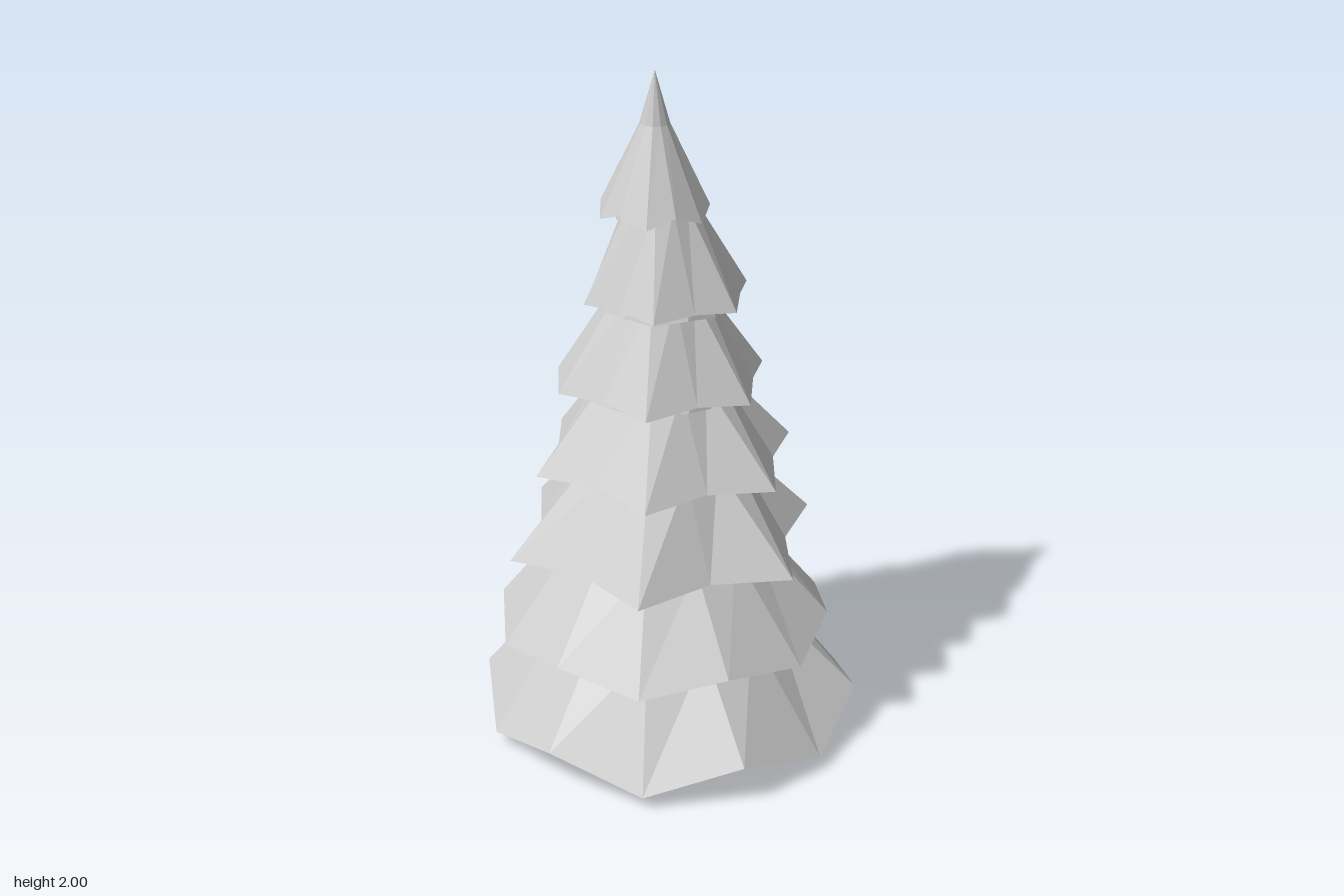
import * as THREE from 'three';

const SIDES = 12;

// One ring of points; radius and y may be a number or a function of the corner index.
// Even corners point along +x, +60 degrees and so on.
function ring(cx, cz, radius, y) {
  const at = (v, i) => (typeof v === 'function' ? v(i) : v);
  return Array.from({ length: SIDES }, (_, i) => {
    const a = (i / SIDES) * Math.PI * 2;
    const r = at(radius, i);
    return [cx + Math.cos(a) * r, at(y, i), cz + Math.sin(a) * r];
  });
}

// Skin a stack of rings listed from the underside centre to the top.
function loft(rings) {
  const index = [];
  for (let k = 0; k < rings.length - 1; k++) {
    for (let i = 0; i < SIDES; i++) {
      const j = (i + 1) % SIDES;
      const a = k * SIDES + i, b = k * SIDES + j;
      const c = a + SIDES, d = b + SIDES;
      index.push(a, c, b, b, c, d);
    }
  }
  const geometry = new THREE.BufferGeometry();
  geometry.setAttribute('position', new THREE.Float32BufferAttribute(rings.flat(2), 3));
  geometry.setIndex(index);
  geometry.computeVertexNormals();
  return geometry;
}

// Rim centre, radius and height of the even and odd corners, radius and height
// of the lower skirt, then of the neck tucked into the next tier
const TIERS = [
  { c: [0, -0.01], even: [0.565, 0.12], odd: [0.56, 0.04], skirt: [0.41, 0.016], neck: [0.33, 0.36] },
  { c: [-0.022, -0.035], even: [0.495, 0.355], odd: [0.505, 0.312], skirt: [0.375, 0.285], neck: [0.28, 0.6] },
  { c: [-0.028, -0.044], even: [0.368, 0.595], odd: [0.478, 0.585], skirt: [0.335, 0.548], neck: [0.215, 0.86] },
  { c: [-0.02, -0.05], even: [0.318, 0.855], odd: [0.4, 0.842], skirt: [0.27, 0.805], neck: [0.165, 1.11] },
  { c: [-0.03, -0.058], even: [0.265, 1.1], odd: [0.318, 1.085], skirt: [0.23, 1.052], neck: [0.125, 1.37], left: 0.305 },
  { c: [-0.018, -0.058], even: [0.212, 1.36], odd: [0.25, 1.35], skirt: [0.19, 1.318], neck: [0.095, 1.63] },
  { c: [-0.05, -0.065], even: [0.155, 1.62], odd: [0.166, 1.59], skirt: [0.108, 1.578], neck: [0.043, 1.85], tip: 2 },
];

function createTier(tier, n, material) {
  const [cx, cz] = tier.c;
  const pick = (i, k) => (i % 2 ? tier.odd[k] : tier.even[k]);
  const rimR = (i) => (i === 6 && tier.left ? tier.left : pick(i, 0));
  const [skirtR, low] = tier.skirt;
  const wave = n === 0 ? 0.015 : 0.006;
  const skirtX = cx - 0.012, skirtZ = cz - 0.02;
  const foldY = (tier.even[1] + tier.odd[1]) / 2 + 0.015;
  const neckX = (cx - 0.05) / 2, neckZ = (cz - 0.065) / 2;
  const rings = [
    ring(skirtX, skirtZ, 0.03, low + 0.02),                              // underside centre
    ring(skirtX, skirtZ, skirtR, (i) => low + (i % 2 ? -wave : wave)),   // lower skirt edge
    ring(skirtX, skirtZ, skirtR * 0.88, foldY),                          // fold above the skirt
    ring(cx, cz, rimR, (i) => pick(i, 1)),                               // branch rim
    ring(neckX, neckZ, tier.neck[0], tier.neck[1]),                      // neck
  ];
  if (tier.tip) rings.push(ring(-0.05, -0.065, 0, tier.tip));
  const mesh = new THREE.Mesh(loft(rings), material);
  mesh.name = `branchTier${n + 1}`;
  return mesh;
}

export function createModel() {
  const model = new THREE.Group();
  model.name = 'pineTree';

  const foliage = new THREE.MeshStandardMaterial({ color: 0xcccccc, flatShading: true });
  const bark = new THREE.MeshStandardMaterial({ color: 0x5a2e12 });

  TIERS.forEach((tier, n) => model.add(createTier(tier, n, foliage)));

  // Trunk, its foot just showing under the lowest tier
  const trunk = new THREE.Mesh(new THREE.CylinderGeometry(0.03, 0.06, 1.2, 12), bark);
  trunk.name = 'trunk';
  trunk.position.set(0, 0.62, -0.07);
  model.add(trunk);

  return model;
}
